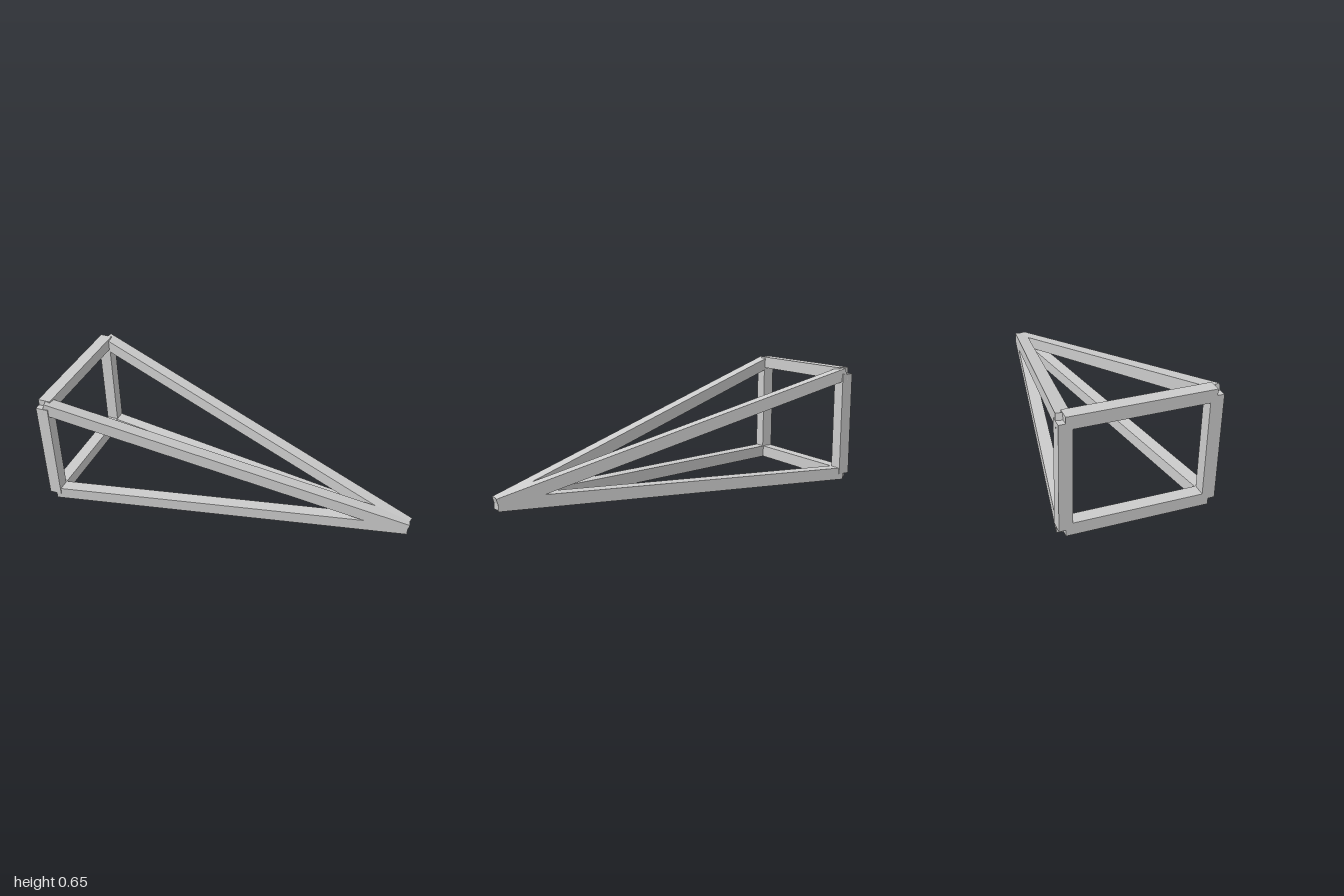
import * as THREE from 'three';

const T = 0.068; // beam thickness
const material = new THREE.MeshStandardMaterial({ color: 0xcccccc, flatShading: true });

// Square beam running between two joint centres
function beam(name, a, b) {
  const mesh = new THREE.Mesh(new THREE.BoxGeometry(T, T, a.distanceTo(b)), material);
  mesh.name = name;
  mesh.position.copy(a).add(b).multiplyScalar(0.5);
  mesh.lookAt(b);
  return mesh;
}

export function createModel() {
  const group = new THREE.Group();
  group.name = 'beamFrame';
  const x = -0.966, low = 0.035, high = 0.615, z = 0.366;
  const corner = (y, s) => new THREE.Vector3(x, y, s * z);
  const apex = new THREE.Vector3(0.985, low, 0);

  // Crossbars of the rectangular end frame
  group.add(beam('bottomCrossbar', corner(low, -1), corner(low, 1)));
  group.add(beam('topCrossbar', corner(high, -1), corner(high, 1)));

  // Posts and the beams converging on the tip, mirrored in z
  for (const [s, side] of [[1, 'front'], [-1, 'back']]) {
    group.add(beam(side + 'Post', corner(low, s), corner(high, s)));
    group.add(beam(side + 'LowerBeam', corner(low, s), apex));
    group.add(beam(side + 'SlopingBeam', corner(high, s), apex));
  }
  return group;
}
